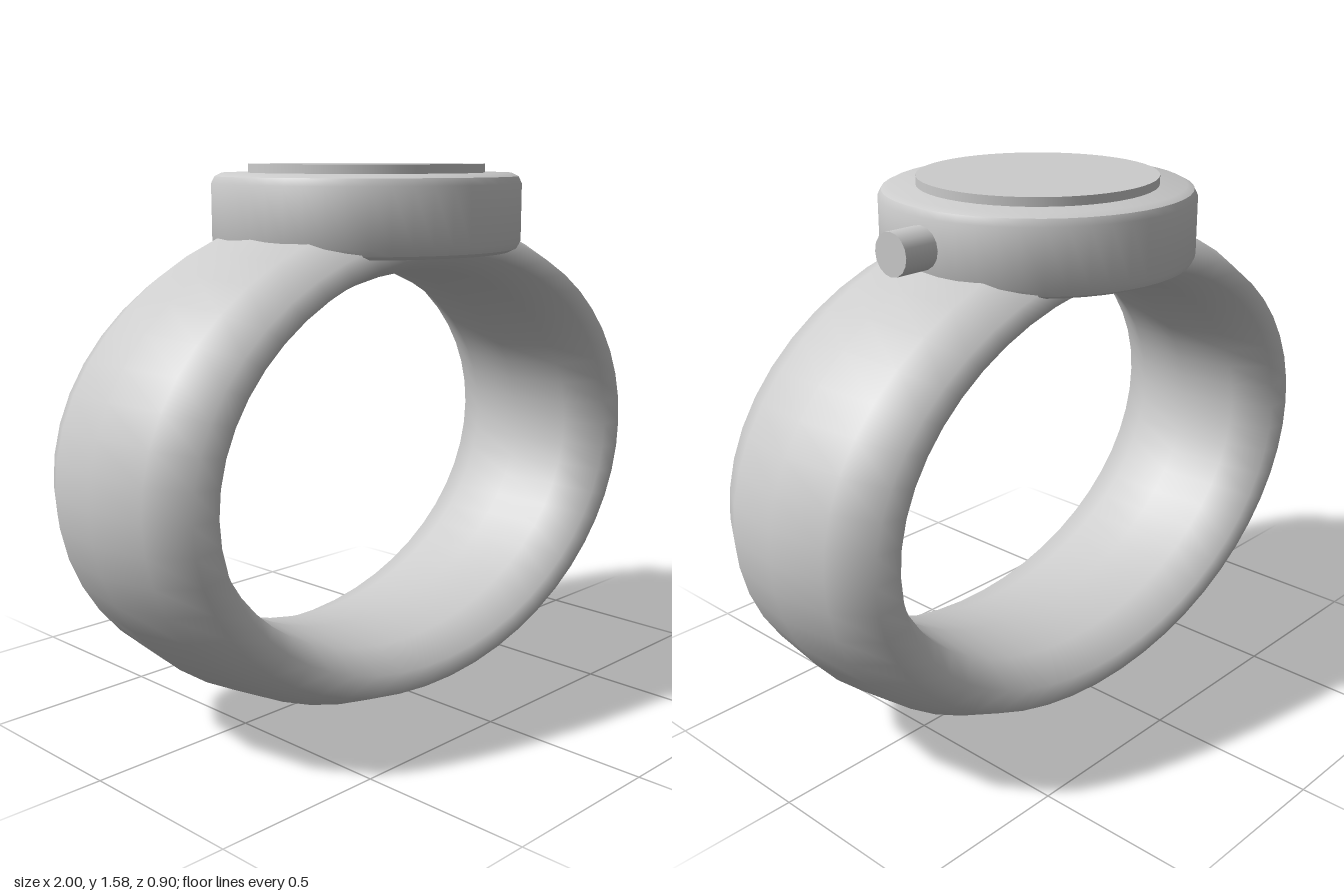
import * as THREE from 'three';
import { toCreasedNormals } from 'three/addons/utils/BufferGeometryUtils.js';

export function createModel() {
  const group = new THREE.Group();
  const grey = new THREE.MeshStandardMaterial({ color: 0xcccccc });
  grey.name = 'light grey';

  const add = (name, geometry, x, y, z) => {
    const mesh = new THREE.Mesh(geometry, grey);
    mesh.name = name;
    mesh.position.set(x, y, z);
    group.add(mesh);
    return mesh;
  };

  // Strap: an oval ring, stretched wide along z
  const strap = new THREE.TorusGeometry(0.865, 0.135, 10, 50);
  strap.scale(1, 0.73, 0.315 / 0.135);
  add('strap', strap, 0, 0.735, 0);

  // Case: round body with small bevels at both rims
  const profile = [
    [0, 1.337], [0.42, 1.337], [0.44, 1.347], [0.45, 1.367],
    [0.45, 1.53], [0.44, 1.55], [0.42, 1.56], [0, 1.56],
  ].map(([r, y]) => new THREE.Vector2(r, y));
  add('case', toCreasedNormals(new THREE.LatheGeometry(profile, 48), 0.6), 0, 0, 0);

  // Raised dial on top of the case
  add('dial', new THREE.CylinderGeometry(0.343, 0.343, 0.035, 48), 0, 1.5675, 0);

  // Crown on the side of the case
  const crown = add('crown', new THREE.CylinderGeometry(0.06, 0.06, 0.155, 16), 0.4775, 1.45, 0);
  crown.rotation.z = -Math.PI / 2;

  return group;
}
